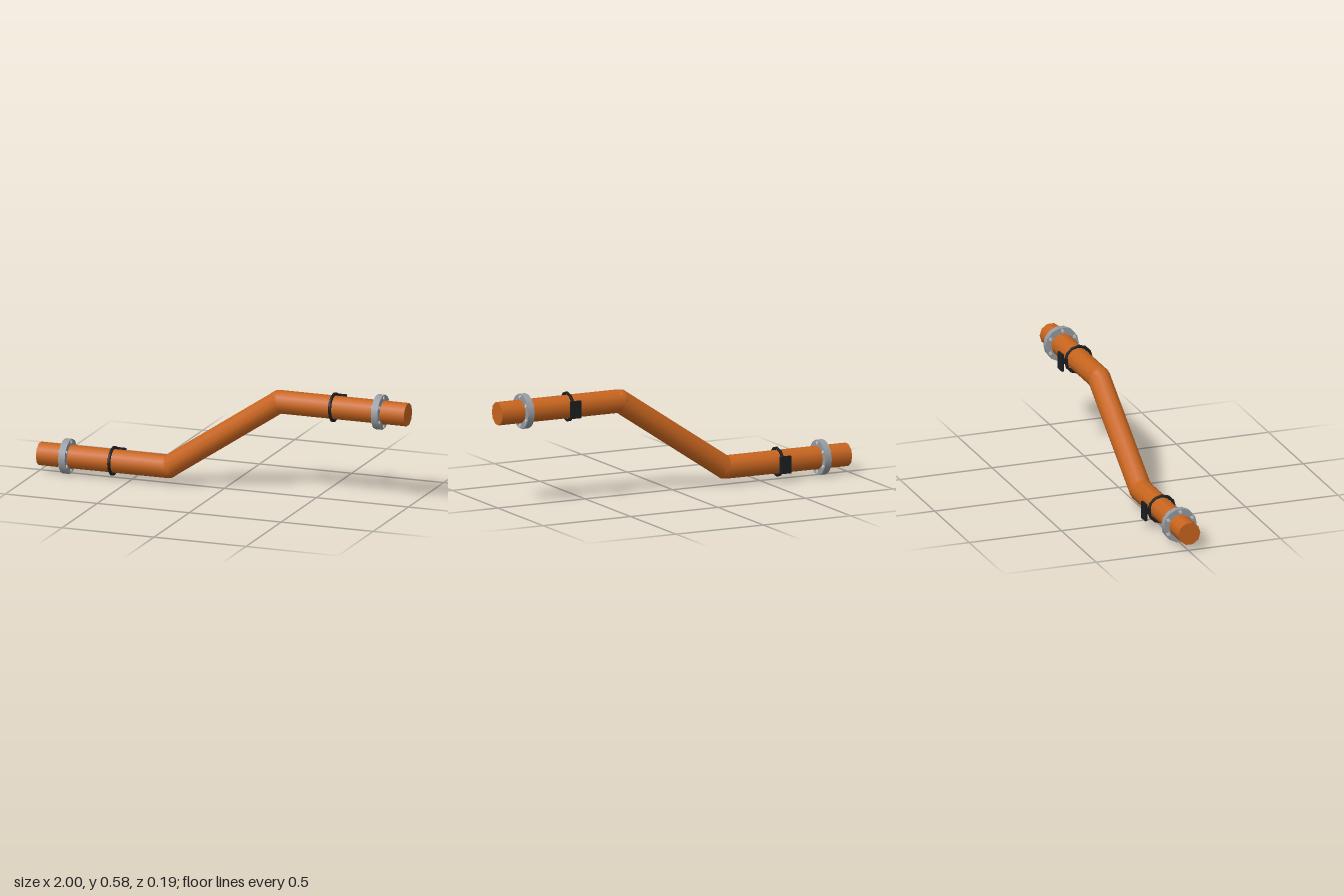
import * as THREE from 'three';

const R = 0.06;      // pipe radius
const Z = 0.006;     // pipe axis offset
const LOW = 0.088, HIGH = 0.488;

const paint = (color) => new THREE.MeshStandardMaterial({ color });
const orange = paint(0xc8651f);
const steel = paint(0x979ca2);
const boltSteel = paint(0xc8cacc);
const black = paint(0x1c1e20);

function add(parent, name, geometry, material, x = 0, y = 0, z = 0) {
  const mesh = new THREE.Mesh(geometry, material);
  mesh.name = name;
  mesh.position.set(x, y, z);
  parent.add(mesh);
  return mesh;
}

// Cylinder lying along x, with a corner towards +z
const rod = (radius, length, sides) =>
  new THREE.CylinderGeometry(radius, radius, length, sides).rotateZ(-Math.PI / 2);

// Straight pipe between two points in the x-y plane
function pipe(parent, name, x0, y0, x1, y1) {
  const length = Math.hypot(x1 - x0, y1 - y0);
  const mesh = add(parent, name, rod(R, length, 10), orange, (x0 + x1) / 2, (y0 + y1) / 2, Z);
  mesh.rotation.z = Math.atan2(y1 - y0, x1 - x0);
}

// Flange disc with a ring of six through bolts
function flange(name) {
  const group = new THREE.Group();
  group.name = name;
  add(group, 'flangeDisc', rod(0.09, 0.036, 14), steel);
  for (let i = 0; i < 6; i++) {
    const a = Math.PI / 6 + i * Math.PI / 3;
    add(group, 'bolt', rod(0.01, 0.046, 5), boltSteel, 0, 0.075 * Math.sin(a), 0.075 * Math.cos(a));
  }
  return group;
}

// Ring clamp with a stub and wall plate behind
function clamp(name) {
  const group = new THREE.Group();
  group.name = name;
  add(group, 'clampRing', new THREE.TorusGeometry(0.07, 0.008, 6, 12).rotateY(Math.PI / 2), black);
  add(group, 'bracketStub', new THREE.BoxGeometry(0.025, 0.025, 0.03), black, 0, 0, -0.077);
  add(group, 'wallPlate', new THREE.BoxGeometry(0.06, 0.09, 0.012), black, 0, 0, -0.095);
  return group;
}

export function createModel() {
  const model = new THREE.Group();
  model.name = 'offsetPipe';

  pipe(model, 'lowerPipe', -1, LOW, -0.3, LOW);
  pipe(model, 'slopedPipe', -0.3, LOW, 0.3, HIGH);
  pipe(model, 'upperPipe', 0.3, HIGH, 1, HIGH);

  // Elbows and fittings at both ends
  for (const [side, label, y] of [[-1, 'lower', LOW], [1, 'upper', HIGH]]) {
    add(model, label + 'Elbow', new THREE.SphereGeometry(R, 10, 8), orange, side * 0.3, y, Z);
    const f = flange(label + 'Flange');
    f.position.set(side * 0.85, y, Z);
    const c = clamp(label + 'Clamp');
    c.position.set(side * 0.6, y, Z);
    model.add(f, c);
  }
  return model;
}
